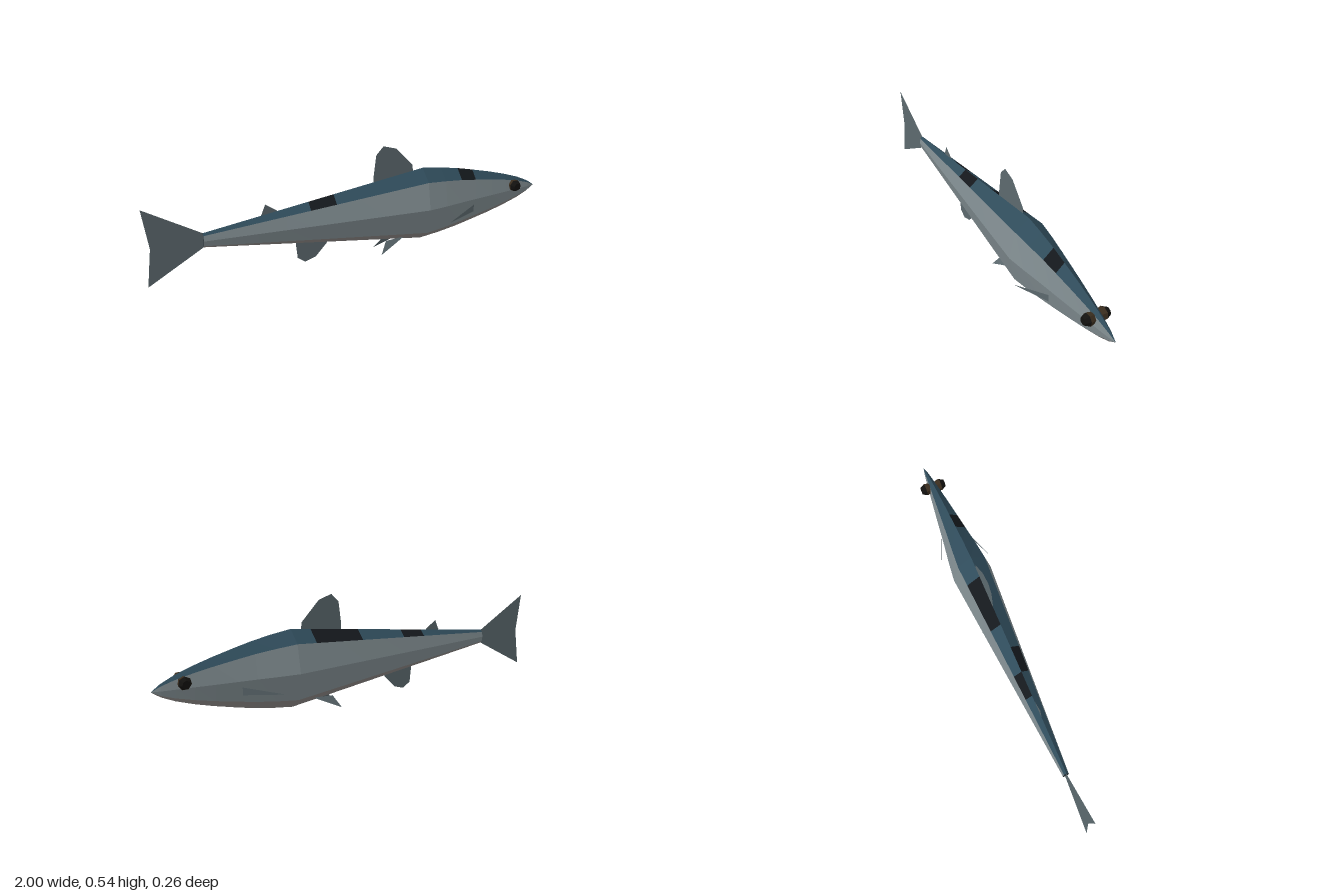
import * as THREE from 'three';

const mat = (color) => new THREE.MeshStandardMaterial({ color, flatShading: true, side: THREE.DoubleSide });

const CENTER_Y = 0.22;

// Body stations from tail to nose: [x, half height, half width]
const stations = [];
for (const x of [-0.74, -0.615, -0.49, -0.36, -0.24, -0.115, 0, 0.125, 0.25, 0.35]) {
  const t = (x + 0.74) / 1.09;
  stations.push([x, 0.035 + 0.152 * t, 0.015 + 0.083 * t]);
}
stations.push(
  [0.45, 0.174, 0.085], [0.545, 0.157, 0.07], [0.63, 0.137, 0.058], [0.73, 0.112, 0.044],
  [0.82, 0.086, 0.031], [0.9, 0.058, 0.019], [0.96, 0.03, 0.01], [1, 0.002, 0.001],
);

// Corner j of the eight-sided section at station i, counted from the top towards +z
function corner(i, j) {
  const [x, ry, rz] = stations[i];
  const a = (j * Math.PI) / 4;
  return [x, CENTER_Y + ry * Math.cos(a), rz * Math.sin(a)];
}

function trianglesMesh(name, points, material) {
  const geo = new THREE.BufferGeometry();
  geo.setAttribute('position', new THREE.Float32BufferAttribute(points.flat(), 3));
  geo.computeVertexNormals();
  const mesh = new THREE.Mesh(geo, material);
  mesh.name = name;
  return mesh;
}

function createBody() {
  const group = new THREE.Group();
  group.name = 'body';
  const parts = { back: [], backPatches: [], flanks: [], belly: [], tailStump: [] };
  // Dark patches as side: station indices
  const patches = { 0: [4, 11], 7: [3, 6, 7] };
  for (let i = 0; i < stations.length - 1; i++) {
    for (let j = 0; j < 8; j++) {
      let part = 'flanks';
      if (j === 0 || j === 7) part = patches[j].includes(i) ? 'backPatches' : 'back';
      else if (j === 3 || j === 4) part = 'belly';
      const a = corner(i, j), b = corner(i, j + 1), c = corner(i + 1, j + 1), d = corner(i + 1, j);
      parts[part].push(a, b, c, a, c, d);
    }
  }
  for (let j = 0; j < 8; j++) {
    parts.tailStump.push([stations[0][0], CENTER_Y, 0], corner(0, j + 1), corner(0, j));
  }
  const colors = { back: 0x2f4b5a, backPatches: 0x14181c, flanks: 0x808c90, belly: 0x8c8886, tailStump: 0x2b353b };
  for (const key in parts) group.add(trianglesMesh(key, parts[key], mat(colors[key])));
  return group;
}

export function createModel() {
  const model = new THREE.Group();
  model.name = 'fish';
  model.add(createBody());

  const finMat = mat(0x5c696e);

  // Flat fins on the middle plane, roots sunk into the body
  const fins = {
    tailFin: [[-0.74, 0.255], [-1, 0.41], [-0.975, 0.22], [-1, 0.035], [-0.74, 0.185]],
    dorsalFin: [[0.09, 0.34], [0.09, 0.4], [0.103, 0.505], [0.14, 0.545], [0.205, 0.525], [0.295, 0.43], [0.3, 0.37]],
    adiposeFin: [[-0.42, 0.27], [-0.468, 0.295], [-0.447, 0.345], [-0.395, 0.308], [-0.37, 0.28]],
    analFin: [[-0.31, 0.15], [-0.3, 0.045], [-0.262, 0.018], [-0.21, 0.035], [-0.15, 0.1], [-0.15, 0.14]],
  };
  for (const name in fins) {
    const shape = new THREE.Shape(fins[name].map(([x, y]) => new THREE.Vector2(x, y)));
    const fin = new THREE.Mesh(new THREE.ShapeGeometry(shape), finMat);
    fin.name = name;
    model.add(fin);
  }

  // Paired fins and eyes
  const irisMat = mat(0x3a2d1e);
  const pupilMat = mat(0x12110f);
  for (const s of [1, -1]) {
    const side = s > 0 ? 'right' : 'left';
    const mirror = (pts) => pts.map(([x, y, z]) => [x, y, z * s]);
    model.add(trianglesMesh(side + 'PectoralFin',
      mirror([[0.615, 0.192, 0.06], [0.615, 0.156, 0.06], [0.44, 0.15, 0.131]]), finMat));
    model.add(trianglesMesh(side + 'PelvicFin',
      mirror([[0.25, 0.065, 0.018], [0.15, 0.06, 0.021], [0.115, 0.002, 0.049]]), finMat));

    const eye = new THREE.Group();
    eye.name = side + 'Eye';
    const iris = new THREE.Mesh(new THREE.CylinderGeometry(0.031, 0.026, 0.024, 7), irisMat);
    iris.name = 'iris';
    iris.position.y = 0.028;
    const pupil = new THREE.Mesh(new THREE.CylinderGeometry(0.019, 0.03, 0.022, 7), pupilMat);
    pupil.name = 'pupil';
    pupil.position.y = 0.051;
    eye.add(iris, pupil);
    eye.rotation.x = (s * Math.PI) / 2;
    eye.position.set(0.865, 0.248, 0);
    model.add(eye);
  }
  return model;
}
